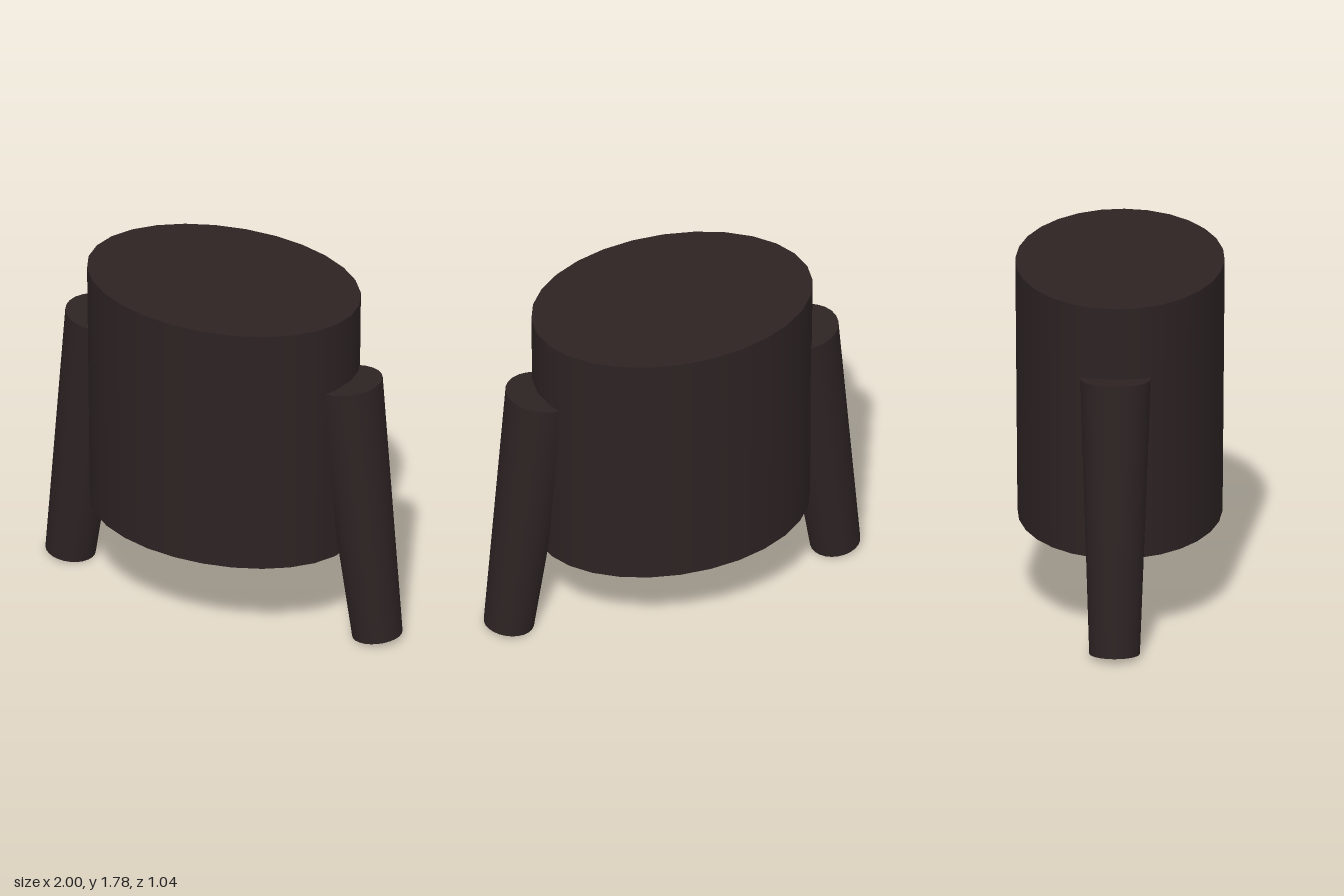
import * as THREE from 'three';

export function createModel() {
  const group = new THREE.Group();
  const darkBrown = new THREE.MeshStandardMaterial({ color: 0x2d2323 });
  darkBrown.name = 'dark brown';

  // Torso: oval cylinder, slightly narrower at the bottom
  const torsoGeometry = new THREE.CylinderGeometry(0.725, 0.71, 1.325, 28);
  torsoGeometry.scale(1, 1, 0.52 / 0.725);
  const torso = new THREE.Mesh(torsoGeometry, darkBrown);
  torso.name = 'torso';
  torso.position.y = 1.1175;
  group.add(torso);

  // Sleeves: tapered cylinders leaning outward toward the cuffs
  const sleeveGeometry = new THREE.CylinderGeometry(0.175, 0.126, 1.4, 24);
  for (const side of [1, -1]) {
    const sleeve = new THREE.Mesh(sleeveGeometry, darkBrown);
    sleeve.name = side > 0 ? 'leftSleeve' : 'rightSleeve';
    sleeve.position.set(side * 0.79, 0.71, 0);
    sleeve.rotation.z = side * 0.121;
    group.add(sleeve);
  }
  return group;
}
